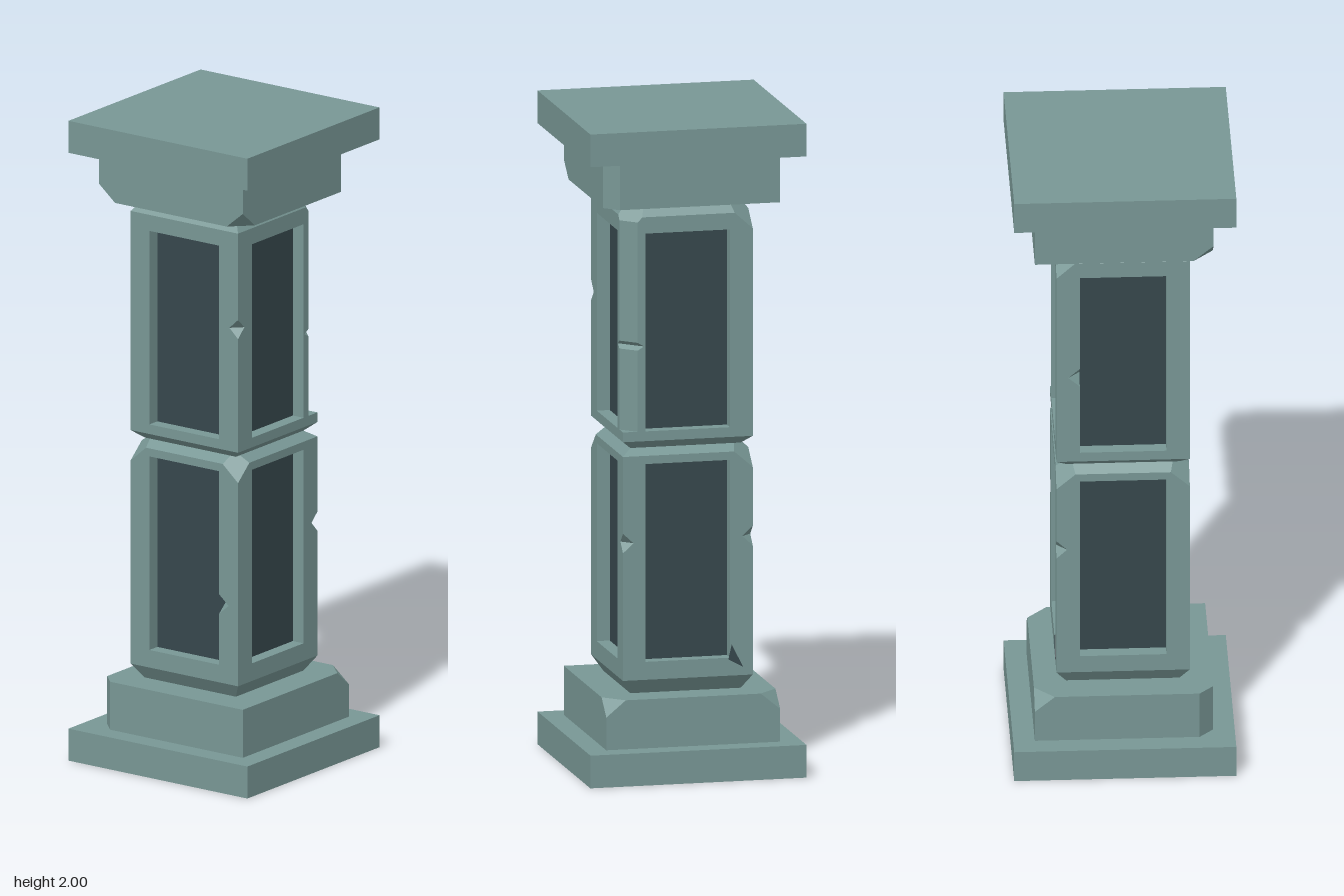
import * as THREE from 'three';
import { ConvexGeometry } from 'three/addons/geometries/ConvexGeometry.js';

const stone = new THREE.MeshStandardMaterial({ color: 0x789795 });
stone.name = 'stone';
const darkPanel = new THREE.MeshStandardMaterial({ color: 0x36474c });
darkPanel.name = 'dark panel';

// A cut keeps the points where n . p <= d
const cut = (x, y, z, d) => ({ n: new THREE.Vector3(x, y, z), d });

// Box given by its limits, trimmed by a list of cuts
function cutBox([x0, x1], [y0, y1], [z0, z1], cuts) {
  const planes = [
    cut(1, 0, 0, x1), cut(-1, 0, 0, -x0), cut(0, 1, 0, y1),
    cut(0, -1, 0, -y0), cut(0, 0, 1, z1), cut(0, 0, -1, -z0), ...cuts,
  ].map(({ n, d }) => ({ n: n.clone().normalize(), d: d / n.length() }));
  const points = [];
  for (let i = 0; i < planes.length; i++)
    for (let j = i + 1; j < planes.length; j++)
      for (let k = j + 1; k < planes.length; k++) {
        const [a, b, c] = [planes[i], planes[j], planes[k]];
        const bc = b.n.clone().cross(c.n);
        const det = a.n.dot(bc);
        if (Math.abs(det) < 1e-4) continue;
        const p = bc.multiplyScalar(a.d)
          .addScaledVector(c.n.clone().cross(a.n), b.d)
          .addScaledVector(a.n.clone().cross(b.n), c.d)
          .divideScalar(det);
        if (planes.every((q) => q.n.dot(p) <= q.d + 1e-6) &&
          points.every((q) => q.distanceTo(p) > 1e-5)) points.push(p);
      }
  return new ConvexGeometry(points);
}

// Chipped corner: a along x and z, b along y
const chip = (sx, sy, sz, half, y, a, b) =>
  cut(sx / a, sy / b, sz / a, (2 * half) / a + (sy * y) / b - 1);

// Bevelled vertical edge
const edge = (sx, sz, half, a) => cut(sx, 0, sz, 2 * half - a);

// Sloping bevel round one end of a block
function endBevel(sy, y, inset, height, half) {
  return [[1, 0], [-1, 0], [0, 1], [0, -1]].map(([x, z]) =>
    cut(x / inset, sy / height, z / inset, half / inset + (sy * y) / height - 1));
}

export function createModel() {
  const model = new THREE.Group();
  const add = (parent, name, geometry, material = stone) => {
    const mesh = new THREE.Mesh(geometry, material);
    mesh.name = name;
    parent.add(mesh);
    return mesh;
  };

  // Square slabs at foot and head
  for (const [name, y] of [['base', 0.05], ['cap', 1.95]])
    add(model, name, new THREE.BoxGeometry(0.666, 0.1, 0.666)).position.y = y;

  // Chipped plinth, and its mirror image below the cap
  const P = 0.268;
  for (const [name, s, y0, y1, yChip] of [
    ['plinth', 1, 0.1, 0.25, 0.25], ['capital', -1, 1.75, 1.9, 1.75]])
    add(model, name, cutBox([-P, P], [y0, y1], [-P, P], [
      chip(s, s, s, P, yChip, 0.06, 0.05),
      chip(s, s, -s, P, yChip, 0.06, 0.05),
      edge(-s, -s, P, 0.042),
    ]));

  // Shaft block: end slabs, four corner posts and a recessed dark core
  const H = 0.2, W = 0.13;
  function shaftBlock(name, [y0, y1], [p0, p1], cuts, upperCuts, notches) {
    const block = new THREE.Group();
    block.name = name;
    model.add(block);
    add(block, 'bottomRail', cutBox([-H, H], [y0, p0], [-H, H], cuts));
    add(block, 'topRail', cutBox([-H, H], [p1, y1], [-H, H], [...cuts, ...upperCuts]));
    add(block, 'recessedPanels',
      new THREE.BoxGeometry(0.32, p1 - p0, 0.32), darkPanel).position.y = (p0 + p1) / 2;
    for (const sx of [1, -1]) for (const sz of [1, -1]) {
      const xs = sx > 0 ? [W, H] : [-H, -W];
      const zs = sz > 0 ? [W, H] : [-H, -W];
      const all = [...cuts, ...upperCuts];
      const notch = notches.find((n) => n.post[0] === sx && n.post[1] === sz);
      if (!notch) {
        add(block, 'cornerPost', cutBox(xs, [p0, p1], zs, all));
        continue;
      }
      // A V-shaped notch splits the post in two
      const { y, dir: [dx, dz], reach, depth, half } = notch;
      const k = depth / half;
      add(block, 'lowerCornerPost', cutBox(xs, [p0, y], zs,
        [...all, cut(dx, k, dz, reach - depth + k * y)]));
      add(block, 'upperCornerPost', cutBox(xs, [y, p1], zs,
        [...all, cut(dx, -k, dz, reach - depth - k * y)]));
    }
    return block;
  }
  const outer = (sx, sz, y, reach = 0.4, depth = 0.032, half = 0.03) =>
    ({ post: [sx, sz], dir: [sx, sz], y, reach, depth, half });
  const inner = (sx, sz, dx, dz, y) =>
    ({ post: [sx, sz], dir: [dx, dz], y, reach: H - W, depth: 0.035, half: 0.03 });

  const lower = shaftBlock('lowerShaft', [0.25, 1.0], [0.35, 0.955], [
    ...endBevel(-1, 0.25, 0.03, 0.045, H),
    ...endBevel(1, 1.0, 0.03, 0.02, H),
    chip(-1, 1, 1, H, 1.0, 0.08, 0.07),
    chip(1, 1, -1, H, 1.0, 0.08, 0.07),
    chip(-1, 1, -1, H, 1.0, 0.08, 0.07),
  ], [], [outer(1, 1, 0.715), outer(1, -1, 0.72), inner(-1, 1, -1, -1, 0.54)]);

  shaftBlock('upperShaft', [1.0, 1.75], [1.055, 1.66], [
    ...endBevel(-1, 1.0, 0.03, 0.025, H),
    ...endBevel(1, 1.75, 0.03, 0.04, H),
    chip(1, 1, 1, H, 1.75, 0.1, 0.1),
    chip(1, 1, -1, H, 1.75, 0.1, 0.09),
  ], [edge(1, 1, H, 0.045)], [
    outer(1, 1, 1.315, 0.355, 0.02, 0.012), outer(-1, 1, 1.41),
    inner(1, -1, -1, -1, 1.315),
  ]);

  // Dark gouge beside the lower panel on the left face
  const gouge = new THREE.ExtrudeGeometry(new THREE.Shape([
    new THREE.Vector2(0.125, 0.345), new THREE.Vector2(0.17, 0.32),
    new THREE.Vector2(0.135, 0.39),
  ]), { depth: 0.003, bevelEnabled: false });
  gouge.rotateY(Math.PI / 2).translate(0.199, 0, 0);
  add(lower, 'gouge', gouge, darkPanel);

  return model;
}
